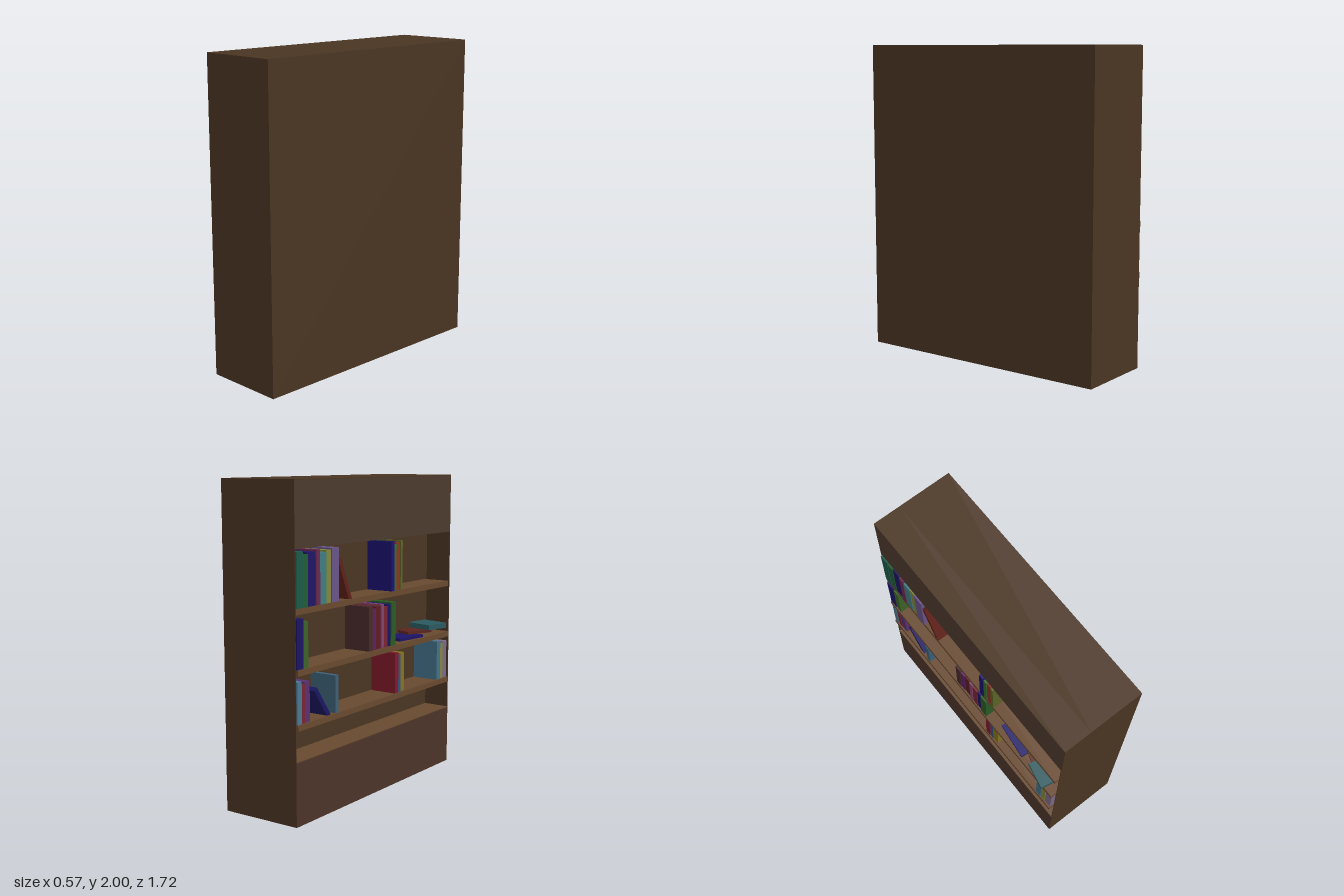
import * as THREE from 'three';

const BACK = -0.07;   // back plane of the shelf recess (it opens towards -x)
const FRONT = -0.25;  // front plane of the case
const HALF = 0.86;    // half width along z

const materials = {};
function material(color) {
  return (materials[color] ??= new THREE.MeshStandardMaterial({ color }));
}

// Box given by its minimum and maximum on each axis
function block(parent, name, [x0, x1], [y0, y1], [z0, z1], color) {
  const mesh = new THREE.Mesh(new THREE.BoxGeometry(x1 - x0, y1 - y0, z1 - z0), material(color));
  mesh.position.set((x0 + x1) / 2, (y0 + y1) / 2, (z0 + z1) / 2);
  mesh.name = name;
  parent.add(mesh);
  return mesh;
}

// Row of upright books filling z0..z1, with thickness and height varying in a regular rhythm
function bookRow(parent, y, z0, z1, height, colors) {
  const weights = colors.map((_, i) => [1.3, 1, 1.5, 0.8][i % 4]);
  const unit = (z1 - z0) / weights.reduce((a, b) => a + b);
  let z = z0;
  colors.forEach((color, i) => {
    const thick = weights[i] * unit;
    const top = y + height - 0.01 * ((i * 2) % 3);
    block(parent, 'uprightBook', [-0.258 + 0.003 * (i % 3), BACK - 0.005], [y, top], [z, z + thick - 0.002], color);
    z += thick;
  });
}

export function createModel() {
  const model = new THREE.Group();
  model.name = 'bookcase';
  const brown = 0x4a3522, shelfBrown = 0x68492f;

  // Carcass: solid rear, thin sides, top and bottom fascias
  const carcass = new THREE.Group();
  carcass.name = 'carcass';
  model.add(carcass);
  const inner = [-HALF + 0.004, HALF - 0.004];
  block(carcass, 'rearBody', [BACK, 0.285], [0, 2], [-HALF, HALF], brown);
  block(carcass, 'topFascia', [FRONT, BACK], [1.615, 1.995], inner, 0x4c3a2e);
  block(carcass, 'topBoard', [FRONT, BACK], [1.995, 2], [-HALF, HALF], brown);
  block(carcass, 'baseFascia', [FRONT, BACK], [0, 0.385], inner, 0x4c342a);
  block(carcass, 'baseLedge', [FRONT, BACK], [0.385, 0.39], inner, shelfBrown);
  block(carcass, 'leftSide', [FRONT, BACK], [0, 1.995], [inner[1], HALF], brown);
  block(carcass, 'rightSide', [FRONT, BACK], [0, 1.995], [-HALF, inner[0]], brown);

  // Shelves, by height of their upper face
  const [low, middle, high] = [0.61, 0.93, 1.28];
  for (const [name, y, x] of [['lowShelf', low, -0.263], ['middleShelf', middle, -0.263], ['highShelf', high, -0.254]]) {
    block(model, name, [x, BACK], [y - 0.036, y], [-0.856, 0.833], shelfBrown);
  }

  // Upright books
  const books = new THREE.Group();
  books.name = 'books';
  model.add(books);
  bookRow(books, low, -0.855, -0.73, 0.25, [0x4a7890, 0x7a2434, 0x5a3070]);
  bookRow(books, low, -0.49, -0.455, 0.23, [0x3c6078]);
  bookRow(books, low, 0.165, 0.285, 0.265, [0x80182a, 0x34507c, 0x847220]);
  bookRow(books, low, 0.69, 0.83, 0.265, [0x42728a, 0x86843a, 0x7c6a84]);
  bookRow(books, middle, -0.855, -0.745, 0.29, [0x1c1464, 0x3c6428]);
  bookRow(books, middle, -0.135, 0.172, 0.28,
    [0x4a2a2c, 0x5c2066, 0x5e1c20, 0x82446e, 0x7a2430, 0x16146c, 0x2a5a24]);
  bookRow(books, high, -0.855, -0.448, 0.32,
    [0x1c5a48, 0x205c34, 0x1e1664, 0x6a2850, 0x407c80, 0x82863a, 0x6a5488]);
  bookRow(books, high, 0.115, 0.247, 0.315, [0x1a1270, 0x386a30, 0x8c3420, 0x5c6428]);

  // Leaning books: pivot on the foot edge, tilted towards -z
  for (const [y, footZ, height, tilt, color] of [
    [low, -0.53, 0.23, 0.62, 0x1c1660], [high, -0.31, 0.28, 0.42, 0x5e2018],
  ]) {
    const lean = new THREE.Group();
    lean.name = 'leaningBook';
    lean.position.set(0, y, footZ);
    lean.rotation.x = -tilt;
    block(lean, 'leaningBookBlock', [-0.253, BACK - 0.005], [0, height], [-0.03, 0], color);
    books.add(lean);
  }

  // Loose pile lying flat on the middle shelf: [x, z, y0, y1, width, length, turn, color]
  for (const [x, z, y0, y1, w, l, turn, color] of [
    [-0.16, 0.41, 0.93, 0.948, 0.15, 0.24, -0.12, 0x1c1468],
    [-0.145, 0.57, 0.948, 0.966, 0.14, 0.2, -0.36, 0x5c2420],
    [-0.172, 0.698, 0.966, 1.0, 0.2, 0.17, -0.21, 0x2a5a60],
  ]) {
    const book = block(books, 'flatBook', [x - w / 2, x + w / 2], [y0, y1], [z - l / 2, z + l / 2], color);
    book.rotation.y = turn;
  }
  return model;
}
